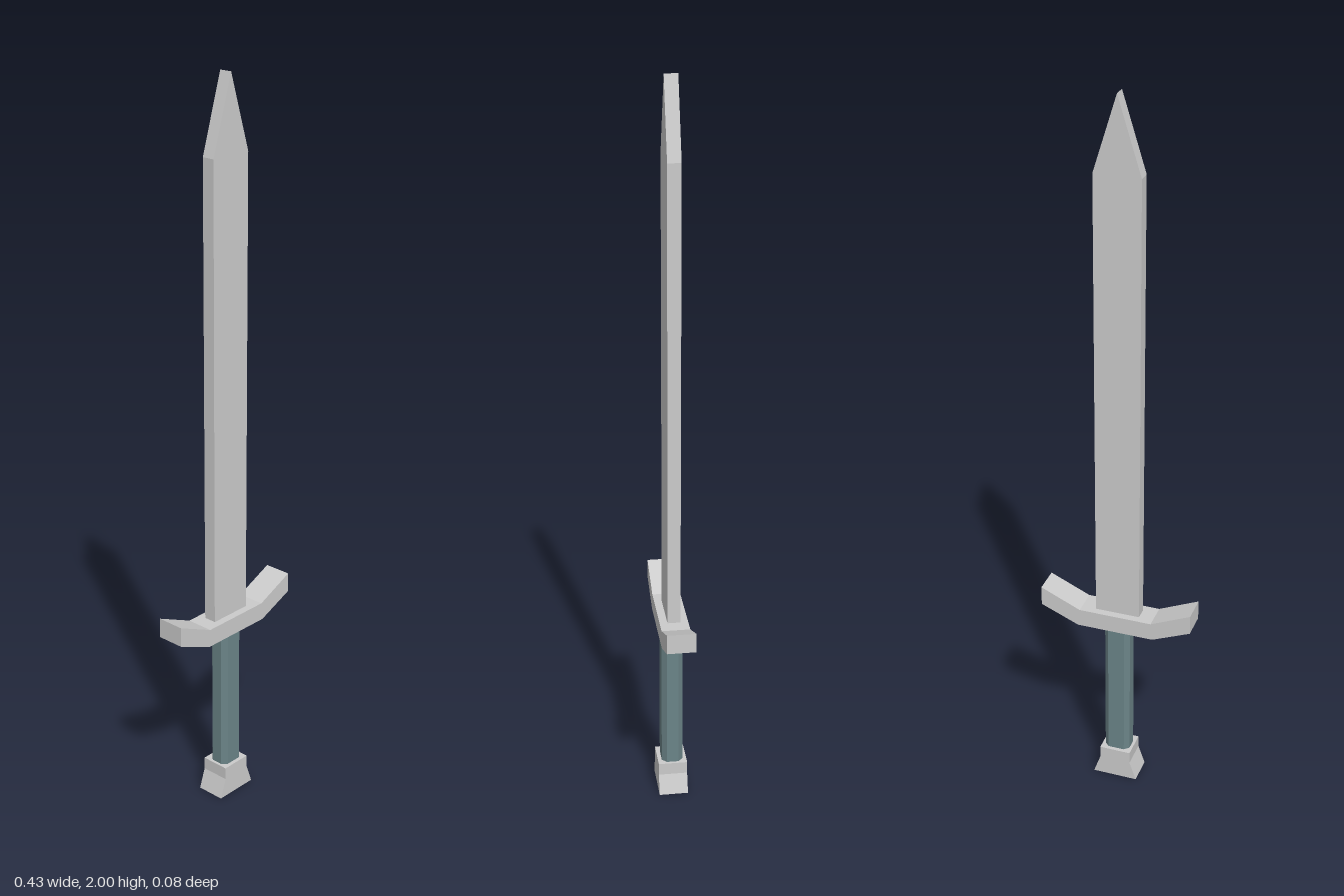
import * as THREE from 'three';

const metal = new THREE.MeshStandardMaterial({ color: 0xcccccc, flatShading: true });
const wrap = new THREE.MeshStandardMaterial({ color: 0x6b8488, flatShading: true });

// Flat outline extruded along z, centred on z = 0
function slab(name, points, depth, material = metal) {
  const shape = new THREE.Shape(points.map(([x, y]) => new THREE.Vector2(x, y)));
  const geometry = new THREE.ExtrudeGeometry(shape, { depth, bevelEnabled: false });
  geometry.translate(0, 0, -depth / 2);
  const mesh = new THREE.Mesh(geometry, material);
  mesh.name = name;
  return mesh;
}

// Completes an outline from its right half, listed bottom to top
const mirrored = (half) => [
  ...half,
  ...half.filter(([x]) => x > 0).reverse().map(([x, y]) => [-x, y]),
];

export function createModel() {
  const sword = new THREE.Group();
  sword.name = 'sword';

  // Straight blade with a pointed tip
  sword.add(slab('blade', mirrored([[0.062, 0.53], [0.062, 1.8], [0, 2]]), 0.035));

  // Crossguard with upswept arms
  sword.add(slab('crossguard', mirrored([
    [0.107, 0.5], [0.213, 0.545], [0.213, 0.6], [0.102, 0.55],
  ]), 0.077));

  // Grip: chamfered bar stood upright
  const w = 0.036, d = 0.029, c = 0.013;
  const grip = slab('grip', mirrored([[w - c, -d], [w, c - d], [w, d - c], [w - c, d]]), 0.44, wrap);
  grip.rotation.x = -Math.PI / 2;
  grip.position.y = 0.29;
  sword.add(grip);

  // Flared pommel
  sword.add(slab('pommel', mirrored([[0.063, 0], [0.044, 0.055], [0.044, 0.09]]), 0.08));

  return sword;
}
